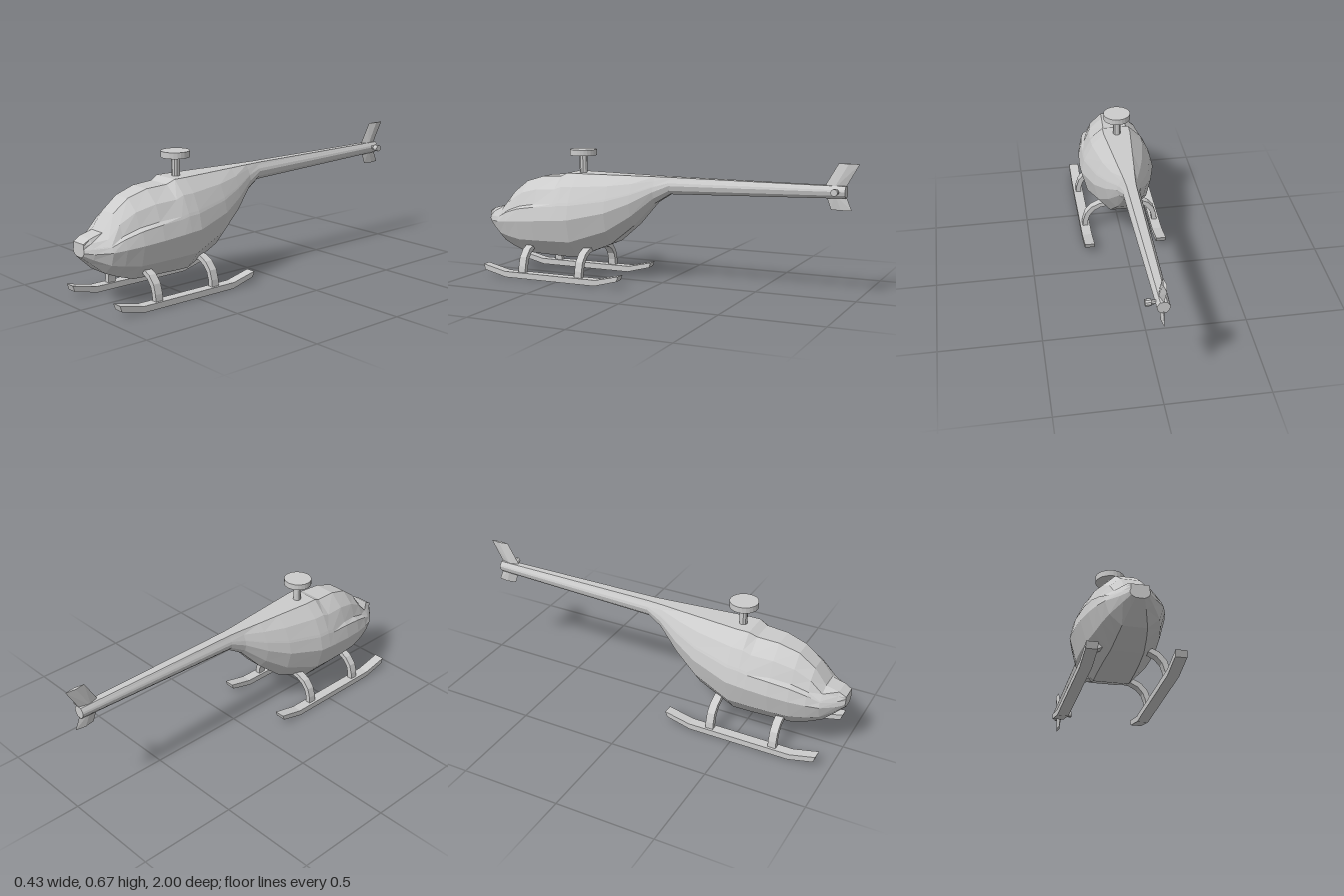
import * as THREE from 'three';
import { ConvexGeometry } from 'three/addons/geometries/ConvexGeometry.js';

const material = new THREE.MeshStandardMaterial({ color: 0xcccccc, flatShading: true });

function add(parent, name, geometry, x = 0, y = 0, z = 0) {
  const mesh = new THREE.Mesh(geometry, material);
  mesh.name = name;
  mesh.position.set(x, y, z);
  parent.add(mesh);
  return mesh;
}

// Cross-sections, nose to tail: z, top, waist height, bottom, half width, half roof width, window inset
const SECTIONS = [
  [1.0, 0.315, 0.275, 0.25, 0.045, 0.04, 0],
  [0.965, 0.335, 0.27, 0.22, 0.078, 0.043, 0],
  [0.9, 0.352, 0.275, 0.165, 0.13, 0.043, 0],
  [0.84, 0.43, 0.282, 0.14, 0.152, 0.043, 0.018],
  [0.76, 0.49, 0.29, 0.115, 0.172, 0.047, 0.02],
  [0.66, 0.52, 0.3, 0.113, 0.187, 0.055, 0.012],
  [0.55, 0.526, 0.31, 0.111, 0.194, 0.061, 0],
  [0.51, 0.545, 0.314, 0.11, 0.195, 0.07, 0],
  [0.45, 0.545, 0.318, 0.11, 0.194, 0.07, 0],
  [0.26, 0.545, 0.36, 0.19, 0.15, 0.052, 0],
  [0.14, 0.545, 0.41, 0.29, 0.107, 0.041, 0],
  [0.03, 0.545, 0.47, 0.41, 0.06, 0.03, 0],
  [-0.05, 0.545, 0.503, 0.46, 0.043, 0.024, 0],
  [-0.94, 0.545, 0.52, 0.488, 0.03, 0.015, 0],
];

function fuselageGeometry() {
  const positions = [];
  const index = [];
  let n = 0;
  for (const [z, top, mid, bottom, w, roof, inset] of SECTIONS) {
    const up = (t) => mid + (top - mid) * t;
    const half = [
      [roof, top],
      [Math.max(w * 0.69, roof) - inset * 0.6, up(0.72)],
      [w * 0.885 - inset, up(0.38)],
      [w * 0.915, up(0.32)],
      [w, mid],
      [w * 0.85, mid + (bottom - mid) * 0.56],
      [w * 0.43, bottom],
    ];
    const ring = [...half, ...half.slice().reverse().map(([x, y]) => [-x, y])];
    n = ring.length;
    for (const [x, y] of ring) positions.push(x, y, z);
  }
  const last = SECTIONS.length - 1;
  for (let i = 0; i < last; i++) {
    for (let j = 0; j < n; j++) {
      const k = (j + 1) % n;
      const a = i * n + j, b = i * n + k;
      index.push(a, b, a + n, b, b + n, a + n);
    }
  }
  // Nose and tail caps
  for (let j = 1; j < n - 1; j++) {
    index.push(0, j + 1, j, last * n, last * n + j, last * n + j + 1);
  }
  const indexed = new THREE.BufferGeometry();
  indexed.setAttribute('position', new THREE.Float32BufferAttribute(positions, 3));
  indexed.setIndex(index);
  const geometry = indexed.toNonIndexed();
  geometry.computeVertexNormals();
  return geometry;
}

// Solid extruded from an outline, centred on its depth
function slab(points, depth) {
  const shape = new THREE.Shape(points.map(([x, y]) => new THREE.Vector2(x, y)));
  const geometry = new THREE.ExtrudeGeometry(shape, { depth, bevelEnabled: false });
  return geometry.translate(0, 0, -depth / 2);
}

// Swept blade with a diamond section: root and tip given as [y, front z, rear z, half thickness]
function finGeometry(...levels) {
  const points = [];
  for (const [y, front, rear, t] of levels) {
    const middle = (front + rear) / 2;
    points.push(
      new THREE.Vector3(0, y, front), new THREE.Vector3(0, y, rear),
      new THREE.Vector3(t, y, middle), new THREE.Vector3(-t, y, middle),
    );
  }
  return new ConvexGeometry(points);
}

export function createModel() {
  const model = new THREE.Group();
  model.name = 'helicopter';

  add(model, 'fuselage', fuselageGeometry());

  // Main rotor
  add(model, 'rotorMast', new THREE.CylinderGeometry(0.02, 0.02, 0.11, 10), 0, 0.585, 0.45);
  add(model, 'rotorHub', new THREE.CylinderGeometry(0.07, 0.07, 0.03, 24), 0, 0.65, 0.45);

  // Tail fins and tail rotor
  add(model, 'upperFin', finGeometry([0.53, -0.83, -0.932, 0.014], [0.65, -0.9, -1, 0.008]));
  add(model, 'lowerFin', finGeometry([0.505, -0.84, -0.936, 0.014], [0.43, -0.868, -0.967, 0.008]));
  const tailShaft = add(model, 'tailRotorShaft', new THREE.CylinderGeometry(0.01, 0.01, 0.08, 8), 0.015, 0.52, -0.9);
  const tailHub = add(model, 'tailRotorHub', new THREE.CylinderGeometry(0.017, 0.017, 0.027, 10), 0.0615, 0.52, -0.9);
  tailShaft.rotation.z = tailHub.rotation.z = Math.PI / 2;

  // Landing gear
  const skidOutline = [
    [0.925, 0.03], [0.8, 0], [0.28, 0], [0.155, 0.033],
    [0.145, 0.06], [0.275, 0.03], [0.805, 0.03], [0.935, 0.06],
  ];
  const legOutline = [
    [0.205, 0.02], [0.201, 0.062], [0.187, 0.108], [0.155, 0.145], [0.112, 0.165], [0.05, 0.177],
    [0.05, 0.15], [0.105, 0.142], [0.14, 0.123], [0.164, 0.094], [0.175, 0.06], [0.178, 0.02],
  ];
  for (const side of [1, -1]) {
    const label = side > 0 ? 'left' : 'right';
    const skid = add(model, label + 'Skid', slab(skidOutline, 0.052), side * 0.191, 0, 0);
    skid.rotation.y = -Math.PI / 2;
    for (const [place, z] of [['Front', 0.71], ['Rear', 0.38]]) {
      const outline = legOutline.map(([x, y]) => [side * x, y]);
      add(model, label + place + 'Leg', slab(outline, 0.04), 0, 0, z);
    }
  }
  return model;
}
